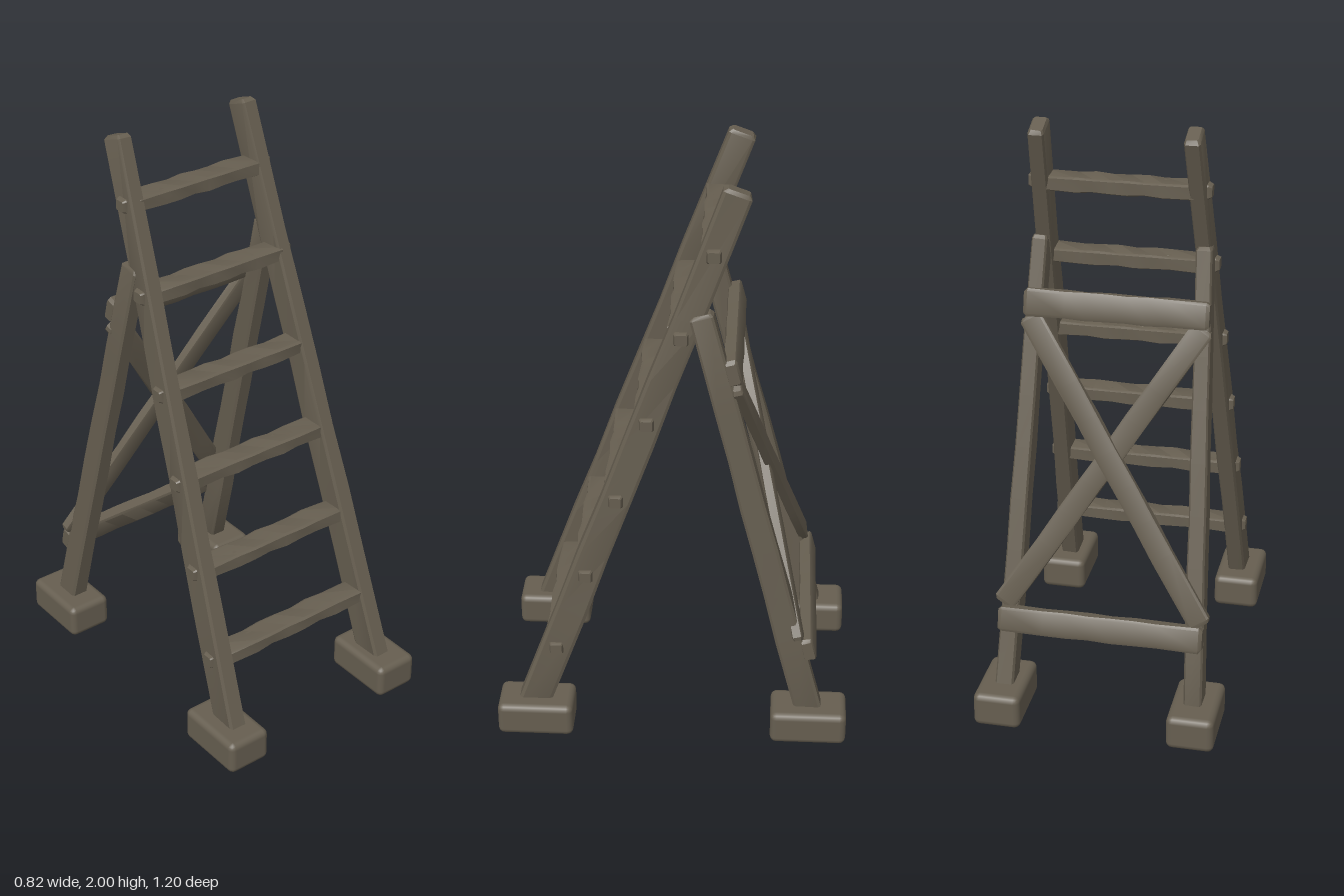
import * as THREE from 'three';
import { toCreasedNormals } from 'three/addons/utils/BufferGeometryUtils.js';
import { RoundedBoxGeometry } from 'three/addons/geometries/RoundedBoxGeometry.js';

const V = (x, y, z) => new THREE.Vector3(x, y, z);
const wood = new THREE.MeshStandardMaterial({ color: 0x665e50 });
wood.name = 'weathered wood';

// Hewn timber from a to b with chamfered edges: w across the ref direction, d across the other
function beam(name, a, b, w, d, ref, { taper = 1, wobble = 0.04, seed = 1 } = {}) {
  const dir = b.clone().sub(a);
  const len = dir.length();
  dir.normalize();
  const xAxis = ref.clone().addScaledVector(dir, -ref.dot(dir)).normalize();
  const zAxis = xAxis.clone().cross(dir);
  const rings = 9, bevel = Math.min(0.012, len * 0.2);
  const geo = new THREE.CylinderGeometry(1, 1, 1, 8, rings);
  const pos = geo.attributes.position;
  const c = 0.8;
  const corners = [[c, 1], [1, c], [1, -c], [c, -1], [-c, -1], [-1, -c], [-1, c], [-c, 1]];
  for (let i = 0; i < pos.count; i++) {
    const x = pos.getX(i), z = pos.getZ(i), t = pos.getY(i) + 0.5;
    const ring = Math.round(t * rings);
    const isEnd = ring === 0 || ring === rings;
    let px = 0, pz = 0;
    if (Math.hypot(x, z) > 0.5) {
      const k = (Math.round(Math.atan2(x, z) / (Math.PI / 4)) + 8) % 8;
      const s = (isEnd ? 0.78 : 1) * (1 + (taper - 1) * t);
      const uneven = 1 + wobble * Math.sin(ring * 2.3 + (k >> 1) * 1.9 + seed * 4.7);
      px = corners[k][0] * w / 2 * s * uneven;
      pz = corners[k][1] * d / 2 * s * uneven;
    }
    let y = t * len;
    if (ring === 1) y = bevel;
    if (ring === rings - 1) y = len - bevel;
    const p = a.clone().addScaledVector(dir, y).addScaledVector(xAxis, px).addScaledVector(zAxis, pz);
    pos.setXYZ(i, p.x, p.y, p.z);
  }
  const mesh = new THREE.Mesh(toCreasedNormals(geo, 0.5), wood);
  mesh.name = name;
  return mesh;
}

// Centre lines of the timbers at a given height
const railX = y => 0.325 - 0.04 * y;
const railZ = y => 0.513 - 0.36 * y;
const legX = y => 0.325 - 0.035 * y;
const legZ = y => -0.495 + 0.257 * y;

export function createModel() {
  const model = new THREE.Group();
  model.name = 'stepLadder';
  const X = V(1, 0, 0), Y = V(0, 1, 0);

  for (const s of [1, -1]) {
    const side = s > 0 ? 'left' : 'right';
    // Front rails and back legs
    model.add(beam(side + 'FrontRail', V(s * railX(0.05), 0.05, railZ(0.05)),
      V(s * railX(1.985), 1.985, railZ(1.985)), 0.064, 0.112, X, { taper: 0.8, seed: s + 2 }));
    model.add(beam(side + 'BackLeg', V(s * legX(0.05), 0.05, legZ(0.05)),
      V(s * legX(1.58), 1.58, legZ(1.58)), 0.064, 0.094, X, { taper: 0.8, seed: s + 5 }));
    // Block feet
    for (const f of [1, -1]) {
      const foot = new THREE.Mesh(new RoundedBoxGeometry(0.16, 0.12, 0.26, 2, 0.022), wood);
      foot.name = side + (f > 0 ? 'FrontFoot' : 'BackFoot');
      foot.position.set(s * 0.328, 0.06, f * 0.47);
      model.add(foot);
    }
  }

  // Rungs, with pegged ends showing outside the rails
  [0.33, 0.62, 0.91, 1.195, 1.5, 1.78].forEach((y, i) => {
    const x = railX(y), z = railZ(y);
    model.add(beam('rung' + (i + 1), V(-x, y, z), V(x, y, z), 0.048, 0.086, Y, { wobble: 0.08, seed: i }));
    const e = x + 0.042;
    model.add(beam('rungPeg' + (i + 1), V(-e, y, z), V(e, y, z), 0.046, 0.048, Y, { wobble: 0.02, seed: i }));
  });

  // Flat crossbars on the back of the legs
  const along = V(0, 1, 0.257).normalize();
  const out = V(0, 0.257, -1).normalize();
  const onBack = (x, y, off) => V(x, y, legZ(y)).addScaledVector(out, off);
  model.add(beam('upperCrossbar', onBack(-0.305, 1.37, 0.05), onBack(0.305, 1.37, 0.05), 0.09, 0.045, along, { seed: 3 }));
  model.add(beam('lowerCrossbar', onBack(-0.345, 0.335, 0.055), onBack(0.345, 0.335, 0.055), 0.085, 0.045, along, { seed: 8 }));

  // Diagonal braces crossing between the legs
  for (const s of [1, -1]) {
    const off = 0.042 + s * 0.008;
    model.add(beam(s > 0 ? 'braceRising' : 'braceFalling', onBack(-s * 0.335, 0.38, off),
      onBack(s * 0.285, 1.33, off), 0.034, 0.076, out, { seed: s + 9 }));
  }
  return model;
}
